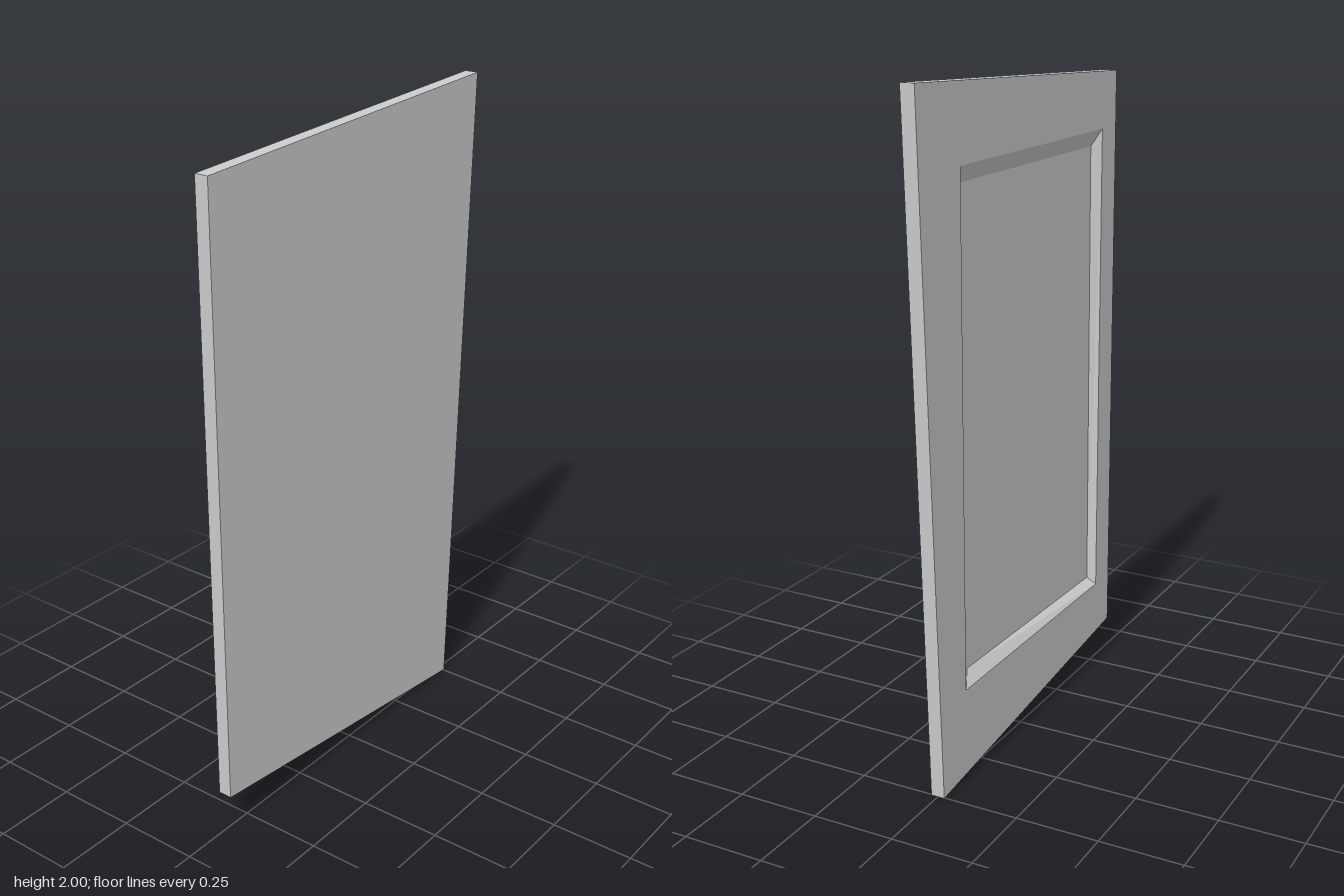
import * as THREE from 'three';

const HALF = 0.021;          // half the panel thickness
const FLOOR = HALF - 0.012;  // depth the back recess reaches

// Corner loops, counter-clockwise seen from the front
const outline = [[-0.592, 0.12], [0.503, 0], [0.592, 2], [-0.592, 1.94]];
const opening = [[-0.495, 0.28], [0.372, 0.28], [0.372, 1.772], [-0.495, 1.772]];
const floor = [[-0.49, 0.3], [0.313, 0.316], [0.339, 1.72], [-0.478, 1.72]];

const loop = (corners, z) => corners.map(([x, y]) => [x, y, z]);

// Flat-shaded mesh from a list of quads
function quadMesh(name, quads, material) {
  const positions = quads.flatMap(([a, b, c, d]) => [a, b, c, a, c, d]).flat();
  const geometry = new THREE.BufferGeometry();
  geometry.setAttribute('position', new THREE.Float32BufferAttribute(positions, 3));
  geometry.computeVertexNormals();
  const mesh = new THREE.Mesh(geometry, material);
  mesh.name = name;
  return mesh;
}

// Band of quads joining one loop to the next
const band = (a, b) => a.map((p, i) => {
  const j = (i + 1) % a.length;
  return [p, b[i], b[j], a[j]];
});

export function createModel() {
  const group = new THREE.Group();
  group.name = 'panel';
  const material = new THREE.MeshStandardMaterial({ color: 0xcccccc, flatShading: true });

  const front = loop(outline, HALF);
  const back = loop(outline, -HALF);
  const rim = loop(opening, -HALF);
  const base = loop(floor, FLOOR);

  // Plain front, outer edges and the flat border around the recess
  group.add(quadMesh('panelBody', [front, ...band(front, back), ...band(back, rim)], material));
  // Sloping recess walls and its floor, facing the back
  group.add(quadMesh('backRecess', [...band(rim, base), [...base].reverse()], material));
  return group;
}
